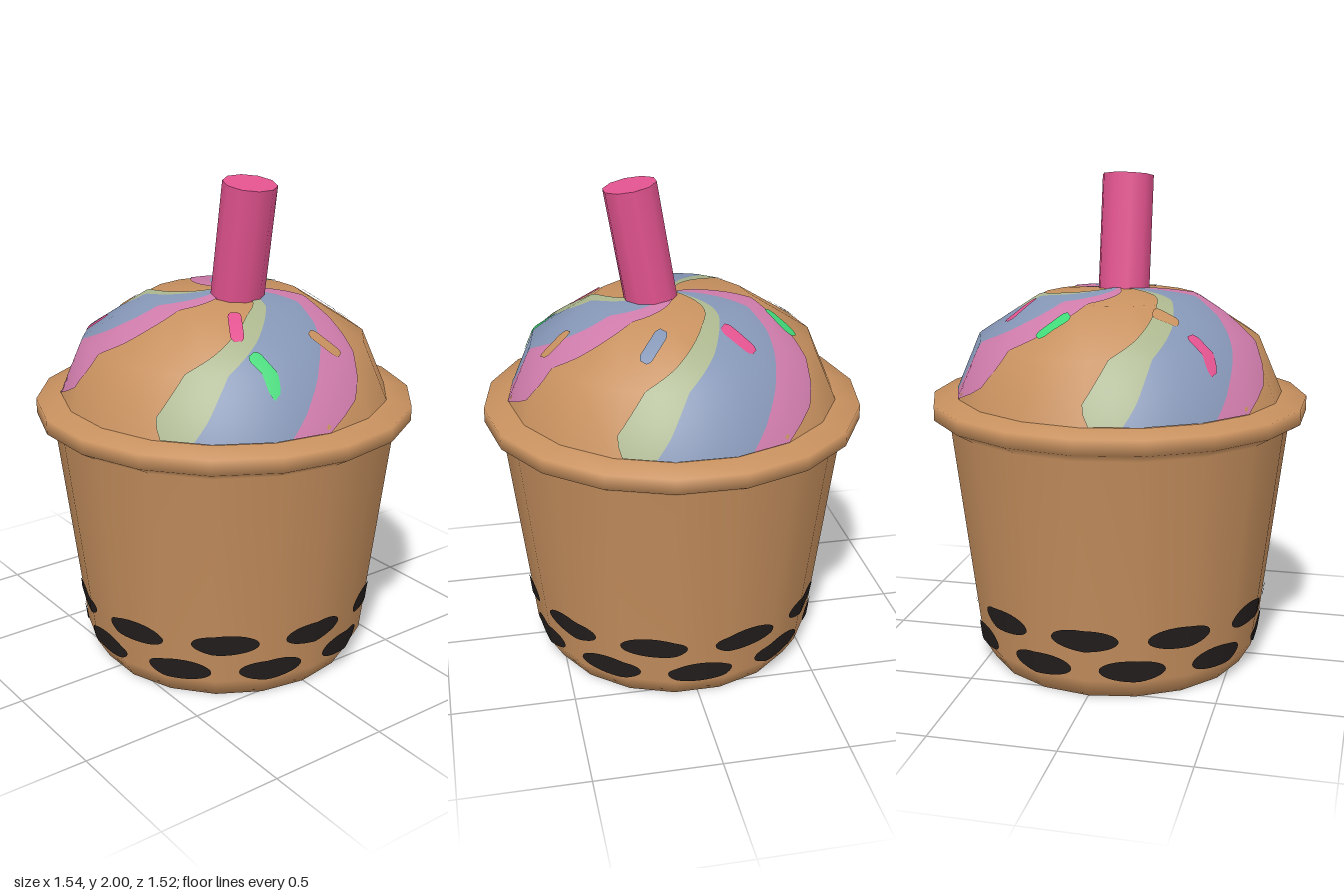
import * as THREE from 'three';

const SIDES = 18;
const STEP = (Math.PI * 2) / SIDES;
const rad = THREE.MathUtils.degToRad;

const mat = (name, color) => {
  const m = new THREE.MeshStandardMaterial({ color });
  m.name = name;
  return m;
};

// piecewise linear lookup in two short lists
function lookup(xs, ys, x) {
  let i = 0;
  while (i < xs.length - 2 && x > xs[i + 1]) i++;
  return THREE.MathUtils.lerp(ys[i], ys[i + 1], THREE.MathUtils.clamp((x - xs[i]) / (xs[i + 1] - xs[i]), 0, 1));
}

// radius factor of the flat-sided cross-section at an angle
function facet(theta) {
  const d = THREE.MathUtils.euclideanModulo(theta, STEP) - STEP / 2;
  return Math.cos(STEP / 2) / Math.cos(d);
}

// dome profile with the tilt of its smooth normal, centre to edge
const DOME_R = [0, 0.32, 0.57, 0.67];
const DOME_Y = [1.54, 1.512, 1.35, 1.115];
const DOME_TILT = [0.09, 0.33, 0.87, 1.16];

// point and normal on the dome above (x, z)
function onDome(x, z, lift) {
  const theta = Math.atan2(z, x);
  const rho = Math.hypot(x, z) / facet(theta);
  const tilt = lookup(DOME_R, DOME_TILT, rho);
  const n = new THREE.Vector3(Math.sin(tilt) * Math.cos(theta), Math.cos(tilt), Math.sin(tilt) * Math.sin(theta));
  const p = new THREE.Vector3(x, lookup(DOME_R, DOME_Y, rho), z).addScaledVector(n, lift);
  return { p, n };
}

// point and normal on the cup wall
function onCup(theta, y, lift) {
  const r = lookup([0.085, 1], [0.592, 0.703], y) * facet(theta) + lift;
  const n = new THREE.Vector3(Math.cos(theta), -0.12, Math.sin(theta)).normalize();
  return { p: new THREE.Vector3(r * Math.cos(theta), y, r * Math.sin(theta)), n };
}

// thin skin made from a rule f(u, v) giving point and normal
function skin(name, material, nu, nv, f) {
  const pos = [], nor = [], idx = [];
  for (let i = 0; i <= nu; i++) {
    for (let j = 0; j <= nv; j++) {
      const { p, n } = f(i / nu, j / nv);
      pos.push(p.x, p.y, p.z);
      nor.push(n.x, n.y, n.z);
      if (i < nu && j < nv) {
        const a = i * (nv + 1) + j, c = a + nv + 1;
        idx.push(a, a + 1, c, a + 1, c + 1, c);
      }
    }
  }
  const g = new THREE.BufferGeometry();
  g.setAttribute('position', new THREE.Float32BufferAttribute(pos, 3));
  g.setAttribute('normal', new THREE.Float32BufferAttribute(nor, 3));
  g.setIndex(idx);
  const mesh = new THREE.Mesh(g, material);
  mesh.name = name;
  return mesh;
}

function lathe(name, material, points) {
  const pts = points.map(([r, y]) => new THREE.Vector2(r, y));
  const mesh = new THREE.Mesh(new THREE.LatheGeometry(pts, SIDES, Math.PI / 2), material);
  mesh.name = name;
  return mesh;
}

export function createModel() {
  const model = new THREE.Group();
  model.name = 'bubbleTeaCup';

  const caramel = mat('caramel', 0xc8915f);
  const black = mat('pearlBlack', 0x231e1d);
  const pink = mat('swirlPink', 0xcf7cab);
  const blue = mat('swirlBlue', 0x8596b6);
  const green = mat('swirlGreen', 0xabb68e);
  const hotPink = mat('strawPink', 0xe2538f);
  const mint = mat('sprinkleGreen', 0x40d878);

  // cup with flared rim, and the dome on top
  model.add(lathe('cup', caramel, [
    [0, 0], [0.542, 0], [0.592, 0.085], [0.703, 1], [0.77, 1.04], [0.77, 1.1], [0.66, 1.12],
  ]));
  model.add(lathe('dome', caramel, DOME_R.map((r, i) => [r, DOME_Y[i]]).reverse()));

  // swirl band edges: angle in degrees at each radius
  const radii = [0.02, 0.1, 0.2, 0.3, 0.4, 0.5, 0.6, 0.64, 0.668];
  const edges = [
    [155, 163, 176, 188, 198, 207, 218, 225, 240],
    [180, 189, 199, 209, 218, 229, 242, 248, 254],
    [215, 222, 231, 244, 256, 267, 278, 282, 286],
    [225, 231, 243, 258, 270, 282, 295, 300, 297],
  ];
  const bands = [['pinkBand', pink], ['blueBand', blue], ['greenBand', green]];
  for (let k = 0; k < 3; k++) {
    const swirl = new THREE.Group();
    swirl.name = 'swirl' + (k + 1);
    bands.forEach(([name, material], b) => {
      swirl.add(skin(name, material, 40, 24, (u, v) => {
        const rho = THREE.MathUtils.lerp(0.02, 0.668, u);
        const t = rad(120 * k + THREE.MathUtils.lerp(lookup(radii, edges[b], rho), lookup(radii, edges[b + 1], rho), v));
        const r = rho * facet(t);
        return onDome(r * Math.cos(t), r * Math.sin(t), 0.005);
      }));
    });
    model.add(swirl);
  }

  // sprinkles: ends (x, z) to (x, z) on the dome
  const sprinkles = [
    [hotPink, -0.235, -0.4, -0.132, -0.313],
    [mint, -0.441, -0.214, -0.359, -0.111],
    [blue, 0.095, -0.322, 0.19, -0.42],
    [hotPink, 0.268, 0.153, 0.375, 0.214],
    [mint, 0.441, 0.202, 0.573, 0.181],
    [caramel, 0.425, -0.087, 0.532, -0.148],
    [caramel, -0.297, 0.198, -0.297, 0.297],
    [hotPink, -0.388, 0.449, -0.326, 0.346],
  ];
  sprinkles.forEach(([material, x0, z0, x1, z1], i) => {
    const len = Math.hypot(x1 - x0, z1 - z0);
    const px = -(z1 - z0) / len, pz = (x1 - x0) / len;
    model.add(skin('sprinkle' + (i + 1), material, 12, 6, (u, v) => {
      const w = 0.052 * (v - 0.5) * Math.min(1, 0.55 + 4 * Math.min(u, 1 - u));
      return onDome(x0 + (x1 - x0) * u + px * w, z0 + (z1 - z0) * u + pz * w, 0.009);
    }));
  });

  // two staggered rows of oval pearls around the cup
  const pearls = new THREE.Group();
  pearls.name = 'pearls';
  [[0.26, 18], [0.132, 0]].forEach(([y, offset]) => {
    for (let i = 0; i < 10; i++) {
      const centre = rad(90 + offset + i * 36);
      pearls.add(skin('pearl', black, 5, 32, (u, v) => {
        const a = v * Math.PI * 2;
        return onCup(centre + 0.222 * u * Math.cos(a), y + 0.046 * u * Math.sin(a), 0.006);
      }));
    }
  });
  model.add(pearls);

  // leaning straw
  const lean = 0.17, length = 0.56;
  const straw = new THREE.Mesh(new THREE.CylinderGeometry(0.107, 0.107, length, 10), hotPink);
  straw.name = 'straw';
  straw.rotation.z = -lean;
  straw.position.set(0.165 - Math.sin(lean) * length / 2, 1.982 - Math.cos(lean) * length / 2, 0);
  model.add(straw);

  return model;
}
